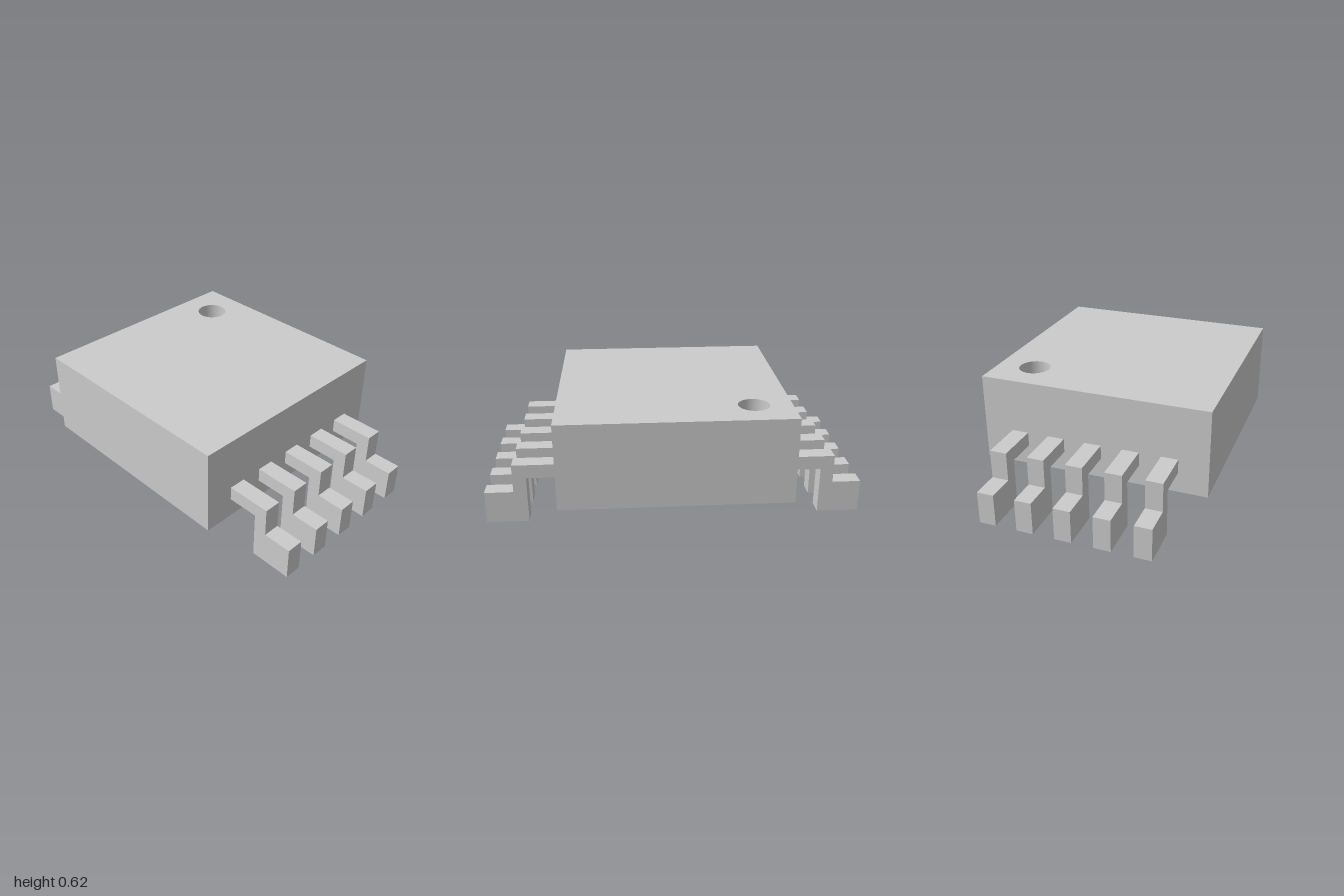
import * as THREE from 'three';

const HALF = 0.612, BOTTOM = 0.147, TOP = 0.615;
const DOT = { x: -0.41, z: -0.41, r: 0.083, depth: 0.1 };
const LEAD_WIDTH = 0.09, LEAD_PITCH = 0.205;

export function createModel() {
  const model = new THREE.Group();
  const grey = new THREE.MeshStandardMaterial({ color: 0xcccccc });
  const inner = new THREE.MeshStandardMaterial({ color: 0xcccccc, side: THREE.BackSide });

  const add = (parent, name, geometry, material = grey) => {
    const mesh = new THREE.Mesh(geometry, material);
    mesh.name = name;
    parent.add(mesh);
    return mesh;
  };

  // Package body: box without its top face, closed by a pierced top
  const body = new THREE.Group();
  body.name = 'packageBody';
  model.add(body);

  const shell = new THREE.BoxGeometry(2 * HALF, TOP - BOTTOM, 2 * HALF);
  const faces = Array.from(shell.index.array);
  faces.splice(12, 6);
  shell.setIndex(faces);
  shell.clearGroups();
  add(body, 'bodyShell', shell).position.y = (TOP + BOTTOM) / 2;

  const top = new THREE.Shape([
    new THREE.Vector2(-HALF, -HALF), new THREE.Vector2(HALF, -HALF),
    new THREE.Vector2(HALF, HALF), new THREE.Vector2(-HALF, HALF),
  ]);
  top.holes.push(new THREE.Path().absarc(DOT.x, -DOT.z, DOT.r, 0, Math.PI * 2, true));
  add(body, 'bodyTop', new THREE.ShapeGeometry(top, 24).rotateX(-Math.PI / 2)).position.y = TOP;

  // Round recess marking the first pin
  const wall = new THREE.CylinderGeometry(DOT.r, DOT.r, DOT.depth, 48, 1, true);
  add(body, 'markerWall', wall, inner).position.set(DOT.x, TOP - DOT.depth / 2, DOT.z);
  const floor = new THREE.CircleGeometry(DOT.r, 48).rotateX(-Math.PI / 2);
  add(body, 'markerFloor', floor).position.set(DOT.x, TOP - DOT.depth, DOT.z);

  // Stepped leads, five per side
  const profile = new THREE.Shape([
    [HALF, 0.255], [0.777, 0.255], [0.777, 0], [1, 0],
    [1, 0.176], [0.848, 0.176], [0.848, 0.33], [HALF, 0.33],
  ].map(([x, y]) => new THREE.Vector2(x, y)));
  const lead = new THREE.ExtrudeGeometry(profile, { depth: LEAD_WIDTH, bevelEnabled: false });
  lead.translate(0, 0, -LEAD_WIDTH / 2);

  for (const side of ['left', 'right']) {
    const row = new THREE.Group();
    row.name = side + 'Leads';
    if (side === 'right') row.rotation.y = Math.PI;
    for (let i = -2; i <= 2; i++) {
      add(row, side + 'Lead' + (i + 3), lead).position.z = i * LEAD_PITCH;
    }
    model.add(row);
  }

  return model;
}
